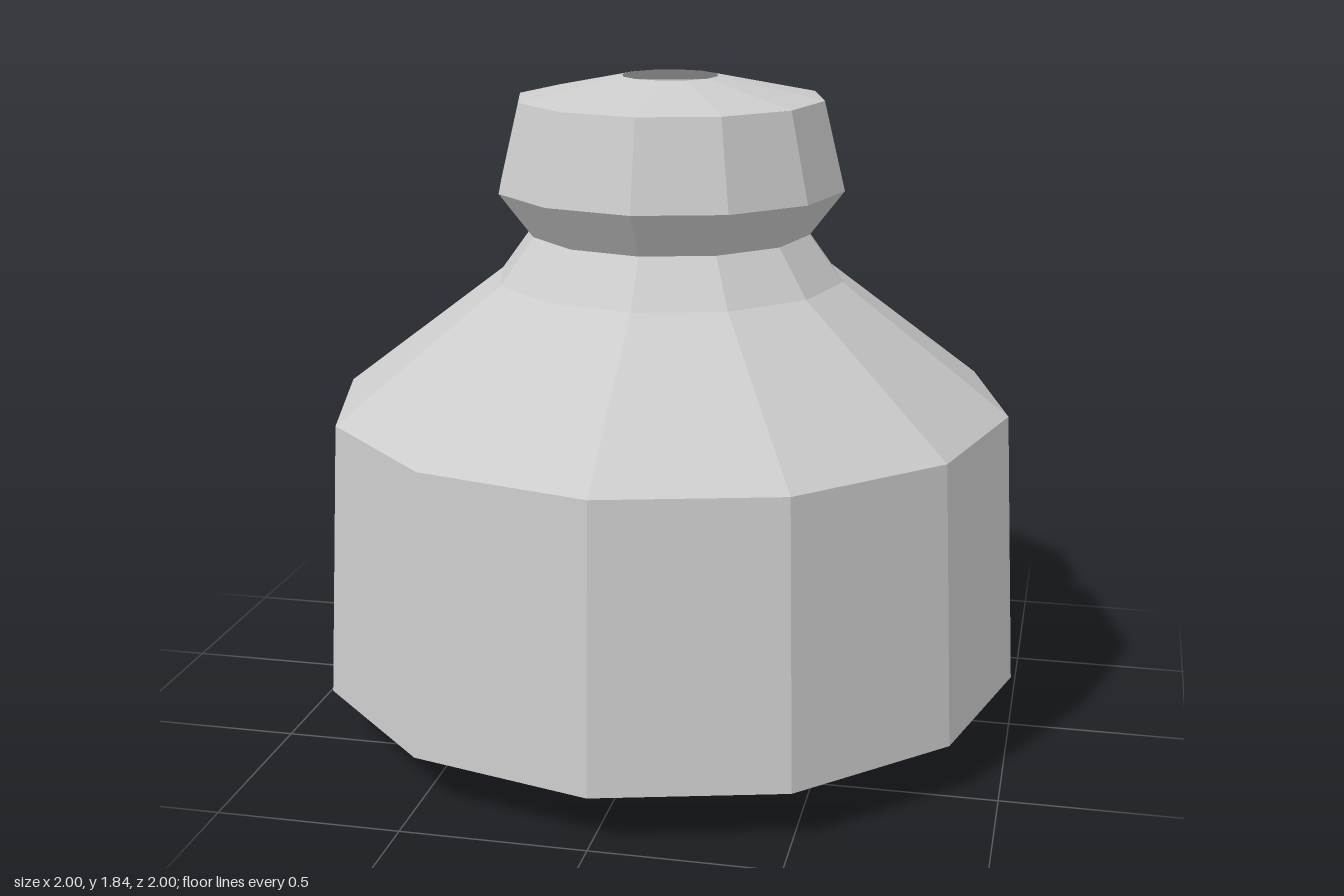
import * as THREE from 'three';

const SIDES = 12;

export function createModel() {
  const model = new THREE.Group();
  model.name = 'bottle';

  const grey = new THREE.MeshStandardMaterial({
    color: 0xcccccc, flatShading: true, side: THREE.DoubleSide,
  });
  grey.name = 'grey';

  // Each part is an open faceted ring turned from [radius, height] points, bottom to top.
  const addPart = (name, profile) => {
    const points = profile.map(([r, y]) => new THREE.Vector2(r, y));
    const mesh = new THREE.Mesh(new THREE.LatheGeometry(points, SIDES), grey);
    mesh.name = name;
    model.add(mesh);
  };

  // Tapered base, open underneath
  addPart('base', [[0.66, 0], [1, 0.145]]);
  // Wide, slightly narrowing wall
  addPart('body', [[1, 0.145], [0.96, 0.92]]);
  // Sloping shoulder and steeper neck
  addPart('shoulder', [[0.96, 0.92], [0.49, 1.28], [0.395, 1.41]]);
  // Flared collar, rim and shallow top with a round opening
  addPart('collar', [[0.395, 1.41], [0.49, 1.535], [0.43, 1.78], [0.135, 1.84]]);

  return model;
}
